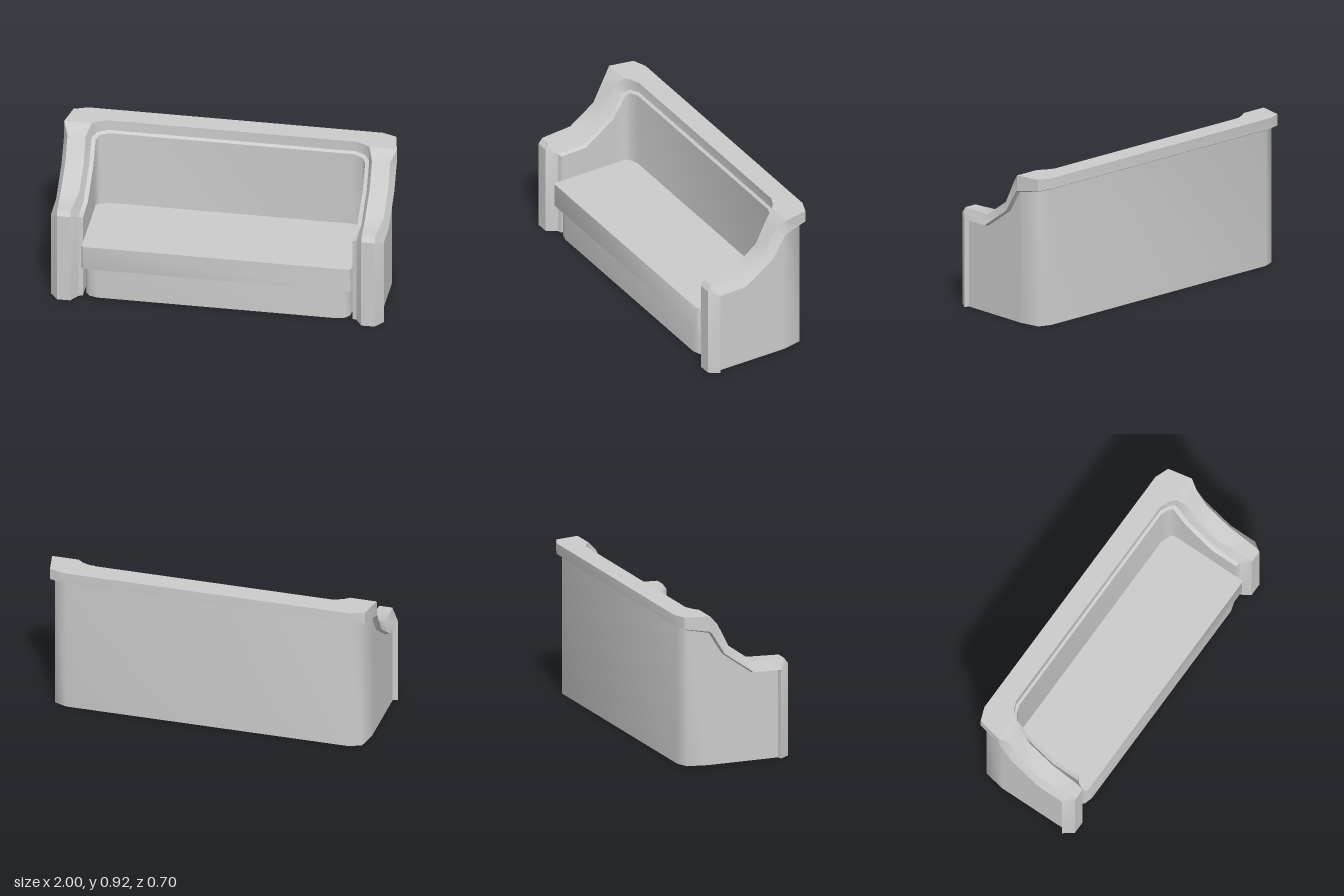
import * as THREE from 'three';
import { toCreasedNormals } from 'three/addons/utils/BufferGeometryUtils.js';

const material = new THREE.MeshStandardMaterial({ color: 0xcccccc, side: THREE.DoubleSide });

// Skin a list of cross-sections (rows of [x, y, z]).
function loft(name, rows, crease) {
  const width = rows[0].length;
  const index = [];
  for (let i = 0; i < rows.length - 1; i++) {
    for (let j = 0; j < width - 1; j++) {
      const a = i * width + j, b = a + width;
      index.push(a, b, a + 1, b, b + 1, a + 1);
    }
  }
  const geometry = new THREE.BufferGeometry();
  geometry.setAttribute('position', new THREE.Float32BufferAttribute(rows.flat(2), 3));
  geometry.setIndex(index);
  const mesh = new THREE.Mesh(toCreasedNormals(geometry, crease), material);
  mesh.name = name;
  return mesh;
}

// Continue the +x half of a run of sections onto the -x side.
const mirror = rows => [
  ...rows,
  ...rows.slice().reverse().map(row => row.map(([x, y, z]) => [-x, y, z])),
];

// Arm section: outer wall edge, trim outside, top band, trim inside, inner wall edge.
function armSection([lowZ, lowY, topZ, topY, topOut, topIn]) {
  const y = lowY + (topY - lowY) * 0.12, z = lowZ + (topZ - lowZ) * 0.12;
  return [
    [0.97, lowY, lowZ], [1, y, z], [topOut, topY, topZ],
    [topIn, topY, topZ], [0.835, y, z], [0.81, lowY, lowZ],
  ];
}

// Back corner section: plan points of the two walls and the two sides of the trim.
function backSection([wallOut, trimOut, trimIn, wallIn, lowY]) {
  const at = ([x, z], y) => [x, y, z];
  return [
    at(wallOut, lowY), at(trimOut, lowY + 0.013), at(trimOut, 0.92),
    at(trimIn, 0.92), at(trimIn, lowY + 0.013), at(wallIn, lowY),
  ];
}

export function createModel() {
  const group = new THREE.Group();
  group.name = 'sofa';

  // Trim: up the front post, along the sloping arm, round the back
  const arm = [
    [0.28, 0, 0.35, 0, 0.955, 0.875],
    [0.28, 0.535, 0.35, 0.57, 0.955, 0.875],
    [0.28, 0.535, 0.325, 0.603, 0.955, 0.875],
    [0.11, 0.54, 0.12, 0.607, 0.97, 0.86],
    [-0.08, 0.675, -0.04, 0.72, 0.97, 0.86],
    [-0.165, 0.81, -0.11, 0.86, 0.97, 0.86],
  ].map(armSection);
  const back = [
    [[0.97, -0.17], [1, -0.17], [0.835, -0.17], [0.81, -0.168], 0.812],
    [[0.945, -0.295], [0.97, -0.32], [0.805, -0.195], [0.79, -0.185], 0.835],
    [[0.87, -0.325], [0.885, -0.352], [0.745, -0.22], [0.735, -0.205], 0.842],
  ].map(backSection);
  const trim = mirror([...arm, ...back]);
  group.add(loft('armAndBackTrim', trim, 0.6));

  // Walls drop from the trim's lower edges to the floor
  const wallRun = mirror([arm[1], ...arm.slice(3), ...back]);
  const toFloor = ([x, , z]) => [x, 0, z];
  group.add(loft('outerWall', wallRun.map(s => [toFloor(s[0]), s[0]]), 1.1));
  group.add(loft('innerWall', wallRun.map(s => [s[5], toFloor(s[5])]), 1.1));

  // Seat cushion: top, front and sides with a narrow lip beneath
  const seat = [[0.81, -0.205], [0.81, 0.322], [0.798, 0.335]].map(([x, z]) => [
    [0, 0.365, z], [x, 0.365, z], [x, 0.215, z], [x - 0.015, 0.215, z - 0.025],
  ]);
  group.add(loft('seatCushion', mirror(seat), 0.9));

  // Front base panel with rounded ends
  const base = [[0.8, 0.2], [0.795, 0.262], [0.77, 0.295], [0.72, 0.31]].map(([x, z]) => [
    [x, 0.215, z], [x, 0.012, z],
  ]);
  group.add(loft('basePanel', mirror(base), 1.1));

  return group;
}
